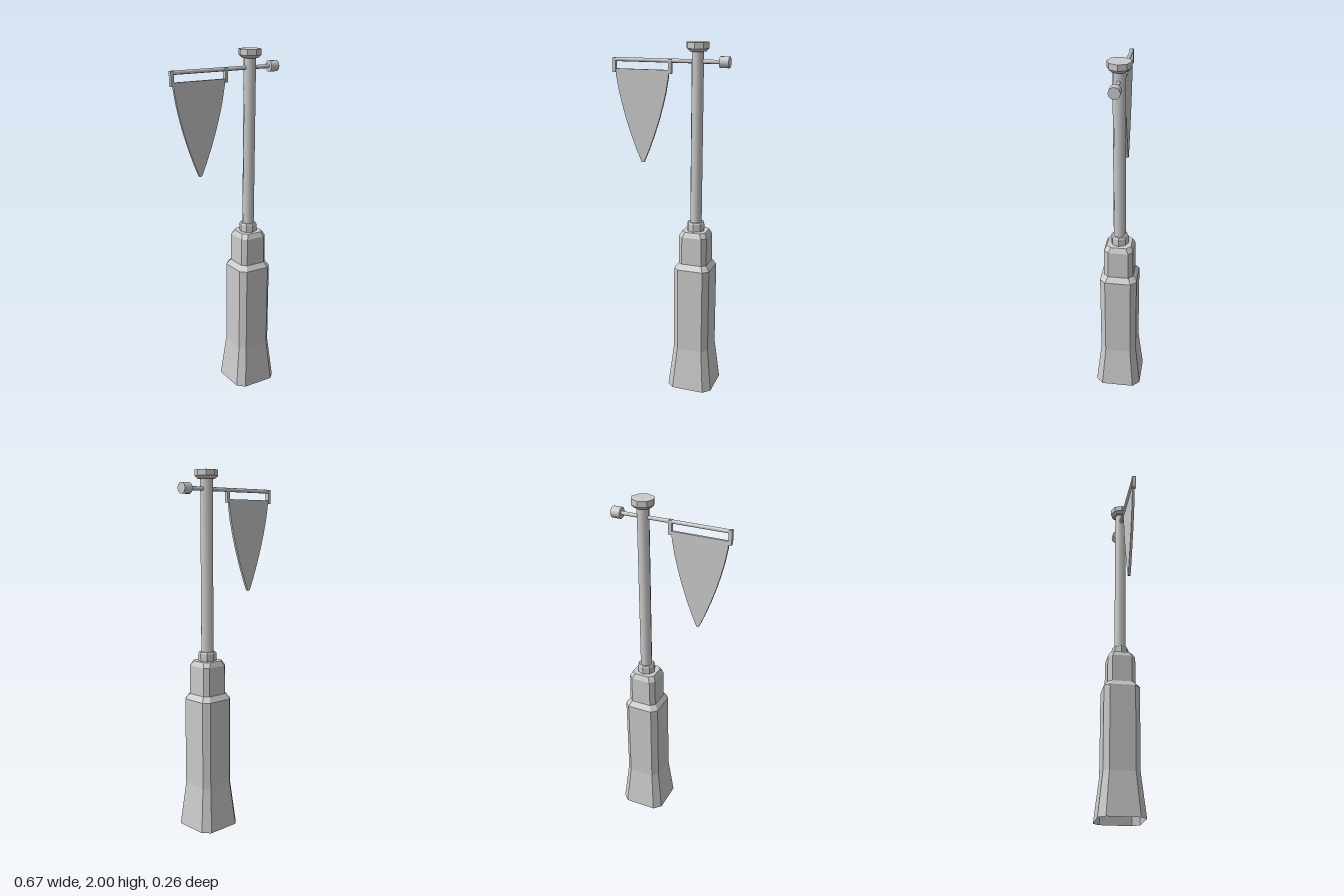
import * as THREE from 'three';

const AXIS_X = 0.157; // post axis
const ARM_Y = 1.9;

export function createModel() {
  const group = new THREE.Group();
  const smooth = new THREE.MeshStandardMaterial({ color: 0xcccccc, side: THREE.DoubleSide });
  const flat = new THREE.MeshStandardMaterial({ color: 0xcccccc, flatShading: true, side: THREE.DoubleSide });

  const add = (name, geometry, material, x, y, z = 0) => {
    const mesh = new THREE.Mesh(geometry, material);
    mesh.name = name;
    mesh.position.set(x, y, z);
    group.add(mesh);
    return mesh;
  };

  // Pedestal: chamfered-square rings, open underneath
  const rings = [ // height, half width, half length of the straight side
    [0, 0.132, 0.093], [0.25, 0.104, 0.073], [0.745, 0.104, 0.073],
    [0.775, 0.082, 0.058], [0.935, 0.081, 0.056], [0.963, 0.067, 0.042],
  ];
  const positions = [];
  const indices = [];
  for (const [y, w, s] of rings) {
    for (const [x, z] of [[w, s], [s, w], [-s, w], [-w, s], [-w, -s], [-s, -w], [s, -w], [w, -s]]) {
      positions.push(x, y, z);
    }
  }
  for (let r = 0; r < rings.length - 1; r++) {
    for (let i = 0; i < 8; i++) {
      const a = r * 8 + i, b = r * 8 + (i + 1) % 8;
      indices.push(a, a + 8, b, b, a + 8, b + 8);
    }
  }
  const top = (rings.length - 1) * 8;
  for (let i = 1; i < 7; i++) indices.push(top, top + i + 1, top + i);
  const pedestal = new THREE.BufferGeometry();
  pedestal.setAttribute('position', new THREE.Float32BufferAttribute(positions, 3));
  pedestal.setIndex(indices);
  const pedestalGeometry = pedestal.toNonIndexed();
  pedestalGeometry.computeVertexNormals();
  add('pedestal', pedestalGeometry, flat, AXIS_X, 0);

  // Post with its collar and cap
  add('post', new THREE.CylinderGeometry(0.034, 0.034, 1.01, 8), smooth, AXIS_X, 1.465);
  const turned = (points) =>
    new THREE.LatheGeometry(points.map(([r, y]) => new THREE.Vector2(r, y)), 8);
  add('collar', turned([[0.05, 0.96], [0.05, 1.005], [0.045, 1.013], [0, 1.013]]), flat, AXIS_X, 0);
  add('cap', turned([[0, 1.952], [0.046, 1.952], [0.063, 1.968], [0.063, 2], [0, 2]]), flat, AXIS_X, 0);

  // Cross arm and end knob
  const arm = add('arm', new THREE.CylinderGeometry(0.011, 0.011, 0.62, 8), smooth, -0.022, ARM_Y);
  arm.rotation.z = Math.PI / 2;
  const knob = add('knob', new THREE.CylinderGeometry(0.031, 0.031, 0.052, 10), smooth, 0.307, ARM_Y);
  knob.rotation.z = Math.PI / 2;

  // Hangers at both ends of the banner
  for (const x of [-0.324, 0.002]) {
    add('hanger', new THREE.BoxGeometry(0.018, 0.078, 0.022), flat, x, 1.87);
  }

  // Tapered banner
  const half = [[0.156, 0], [0.153, -0.04], [0.139, -0.12], [0.122, -0.19],
    [0.1, -0.27], [0.07, -0.36], [0.036, -0.45], [0.007, -0.517]];
  const outline = [...half, ...half.map(([x, y]) => [-x, y]).reverse()];
  const banner = new THREE.ExtrudeGeometry(
    new THREE.Shape(outline.map(([x, y]) => new THREE.Vector2(x, y))),
    { depth: 0.014, bevelEnabled: false });
  add('banner', banner, flat, -0.161, 1.85, -0.007);

  return group;
}
